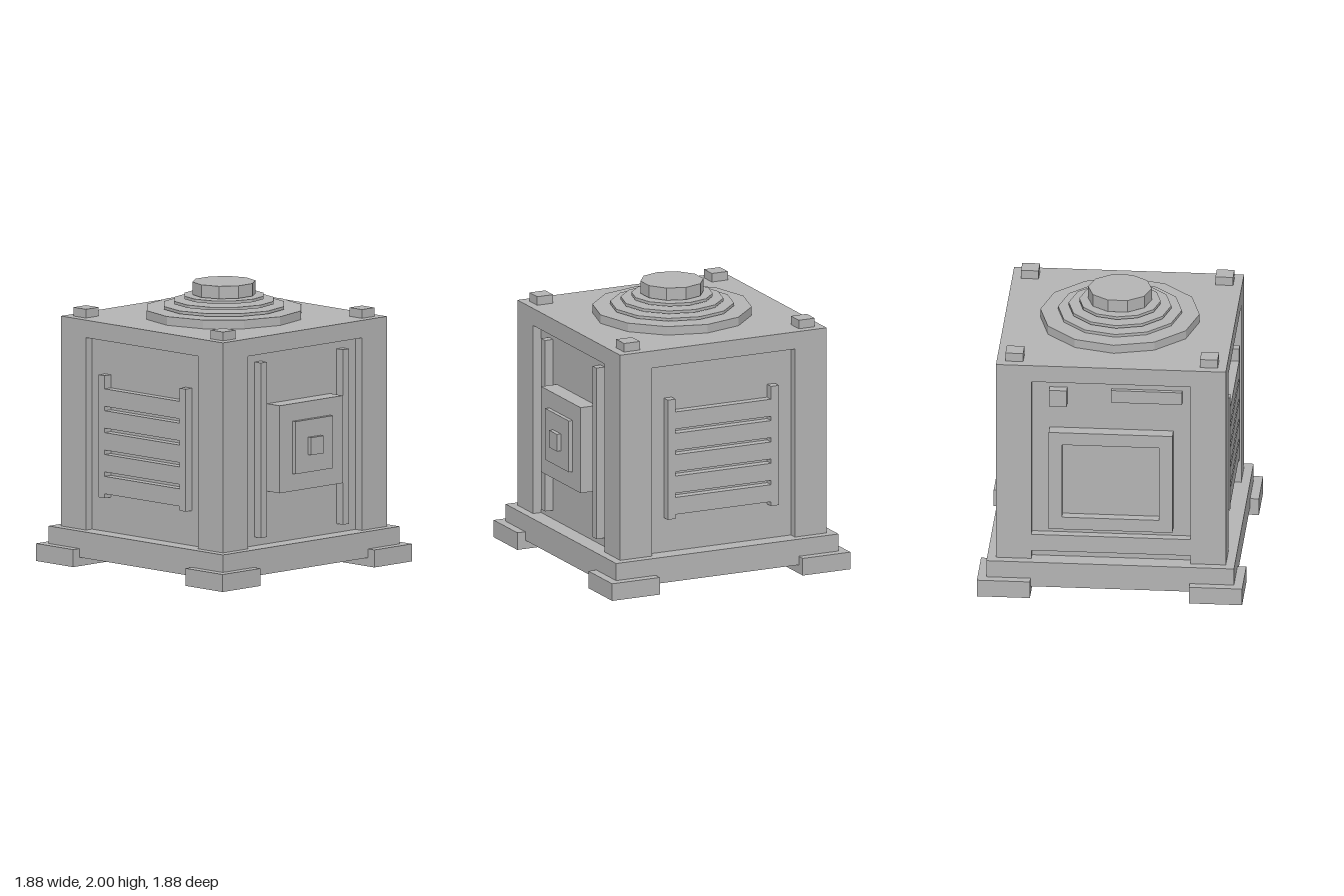
import * as THREE from 'three';

export function createModel() {
  const model = new THREE.Group();
  model.name = 'paneledCube';
  const grey = new THREE.MeshStandardMaterial({ color: 0xb4b4b4 });
  grey.name = 'plain grey';

  // Box given by its minimum and maximum corners
  function box(name, [x0, y0, z0], [x1, y1, z1], parent = model) {
    const mesh = new THREE.Mesh(new THREE.BoxGeometry(x1 - x0, y1 - y0, z1 - z0), grey);
    mesh.position.set((x0 + x1) / 2, (y0 + y1) / 2, (z0 + z1) / 2);
    mesh.name = name;
    parent.add(mesh);
    return mesh;
  }

  // Upright polygonal disc between two heights
  function disc(name, radius, y0, y1, sides, turn = 0) {
    const geometry = new THREE.CylinderGeometry(radius, radius, y1 - y0, sides).toNonIndexed();
    geometry.computeVertexNormals();
    const mesh = new THREE.Mesh(geometry, grey);
    mesh.position.y = (y0 + y1) / 2;
    mesh.rotation.y = turn;
    mesh.name = name;
    model.add(mesh);
  }

  // Body: recessed core, lid and base slab
  box('core', [-0.75, 0.25, -0.75], [0.75, 1.625, 0.75]);
  box('lid', [-0.8125, 1.625, -0.8125], [0.8125, 1.75, 0.8125]);
  box('base', [-0.875, 0.0625, -0.875], [0.875, 0.25, 0.875]);

  // Corner columns, feet and top studs
  for (const sx of [-1, 1]) {
    for (const sz of [-1, 1]) {
      const corner = (name, size, y0, y1, offset) => {
        const h = size / 2, x = sx * offset, z = sz * offset;
        box(name, [x - h, y0, z - h], [x + h, y1, z + h]);
      };
      corner('cornerColumn', 0.25, 0.25, 1.625, 0.6875);
      corner('foot', 0.375, 0, 0.125, 0.75);
      corner('topStud', 0.125, 1.75, 1.8125, 0.6875);
    }
  }

  // Front: two rails and a stepped square boss
  for (const s of [-1, 1]) {
    box('frontRail', [s * 0.40625 - 0.03125, 0.3125, 0.75], [s * 0.40625 + 0.03125, 1.5625, 0.8125]);
  }
  box('bossPlate', [-0.3125, 0.625, 0.75], [0.3125, 1.25, 0.875]);
  box('bossStep', [-0.1875, 0.75, 0.875], [0.1875, 1.125, 0.906]);
  box('bossButton', [-0.0625, 0.875, 0.906], [0.0625, 1, 0.9375]);

  // Side grilles: two posts joined by five slats
  for (const s of [-1, 1]) {
    const grille = new THREE.Group();
    grille.name = s > 0 ? 'leftGrille' : 'rightGrille';
    for (const z of [-0.4375, 0.375]) {
      box('grillePost', [0.75, 0.5, z], [0.8125, 1.375, z + 0.0625], grille);
    }
    for (let i = 0; i < 5; i++) {
      const y = 0.53125 + i * 0.15625;
      box('grilleSlat', [0.75, y, -0.375], [0.8125, y + 0.125, 0.375], grille);
    }
    if (s < 0) grille.rotation.y = Math.PI;
    model.add(grille);
  }

  // Back: framed screen, knob, label plate and lower sill
  const frame = new THREE.Group();
  frame.name = 'screenFrame';
  model.add(frame);
  for (const x of [-0.4375, 0.34375]) {
    box('frameSide', [x, 0.5, -0.84375], [x + 0.09375, 1.25, -0.75], frame);
  }
  for (const y of [0.5, 1.15625]) {
    box('frameBar', [-0.34375, y, -0.84375], [0.34375, y + 0.09375, -0.75], frame);
  }
  box('screen', [-0.34375, 0.59375, -0.775], [0.34375, 1.15625, -0.75], frame);
  box('knob', [0.3125, 1.4375, -0.8125], [0.4375, 1.5625, -0.75]);
  box('labelPlate', [-0.5, 1.46875, -0.78125], [0, 1.5625, -0.75]);
  box('backSill', [-0.5625, 0.3125, -0.8125], [0.5625, 0.4375, -0.75]);

  // Stacked cap on top
  disc('capBase', 0.5625, 1.75, 1.8125, 12);
  disc('capStem', 0.1, 1.8125, 1.91, 12);
  [0.4375, 0.3625, 0.2875].forEach((r, i) => {
    const y = 1.817 + i * 0.0335;
    disc('capFin', r, y, y + 0.021, 12);
  });
  disc('capKnob', 0.225, 1.91, 2, 10, Math.PI / 2);

  return model;
}
